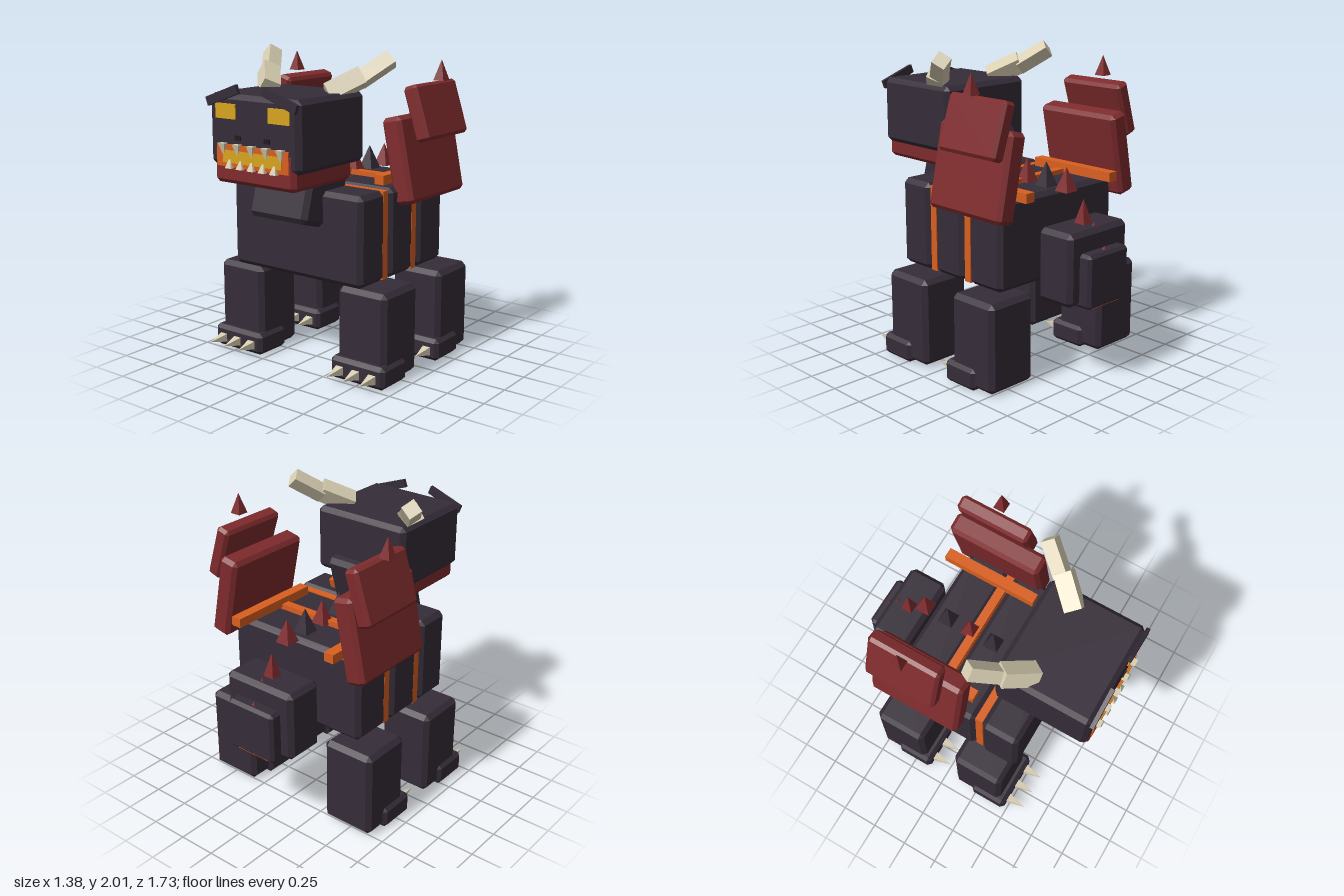
import * as THREE from 'three';
import { ConvexGeometry } from 'three/addons/geometries/ConvexGeometry.js';

const mat = (name, color) => {
  const m = new THREE.MeshStandardMaterial({ color });
  m.name = name;
  return m;
};

// Box with chamfered edges and corners
function chamferBox(w, h, d, b) {
  const pts = [];
  for (const sx of [-1, 1]) for (const sy of [-1, 1]) for (const sz of [-1, 1]) {
    const x = w / 2, y = h / 2, z = d / 2;
    pts.push(new THREE.Vector3(sx * x, sy * (y - b), sz * (z - b)));
    pts.push(new THREE.Vector3(sx * (x - b), sy * y, sz * (z - b)));
    pts.push(new THREE.Vector3(sx * (x - b), sy * (y - b), sz * z));
  }
  return new ConvexGeometry(pts);
}

// Square pyramid standing on its base at y = 0
function pyramid(width, height) {
  const g = new THREE.ConeGeometry(width / Math.SQRT2, height, 4).toNonIndexed();
  g.rotateY(Math.PI / 4);
  g.translate(0, height / 2, 0);
  g.computeVertexNormals();
  return g;
}

export function createModel() {
  const hide = mat('dark hide', 0x352c38);
  const red = mat('red armour', 0x7f2b2d);
  const orange = mat('orange glow', 0xd95f1f);
  const gold = mat('gold eyes', 0xd9a51e);
  const bone = mat('bone', 0xd8ceb2);
  const black = mat('nostril black', 0x1e1a22);

  const model = new THREE.Group();
  model.name = 'hornedBeast';

  const add = (name, geo, material, x, y, z, parent = model) => {
    const m = new THREE.Mesh(geo, material);
    m.name = name;
    m.position.set(x, y, z);
    parent.add(m);
    return m;
  };
  // Boxes given by their limits on each axis
  const block = (name, material, [x0, x1], [y0, y1], [z0, z1], bevel = 0) => add(
    name,
    bevel ? chamferBox(x1 - x0, y1 - y0, z1 - z0, bevel) : new THREE.BoxGeometry(x1 - x0, y1 - y0, z1 - z0),
    material, (x0 + x1) / 2, (y0 + y1) / 2, (z0 + z1) / 2);

  // Body segments with glowing bands between them
  for (const [name, z] of [['chest', [0.207, 0.465]], ['midBody', [-0.105, 0.155]], ['rearBody', [-0.445, -0.16]]]) {
    block(name, hide, [-0.51, 0.51], [0.6, 1.17], z, 0.03);
  }
  for (const z of [0.181, -0.135]) {
    block('bodyBand', orange, [-0.49, 0.49], [0.6, 1.16], [z - 0.026, z + 0.026]);
  }
  block('backStrip', orange, [-0.36, 0.36], [1.155, 1.192], [-0.168, -0.11]);
  block('bellyPlate', orange, [-0.25, 0.25], [0.592, 0.6], [-0.1, 0.15]);

  // Legs, feet and claws
  for (const s of [-1, 1]) {
    for (const [name, z] of [['front', 0.255], ['hind', -0.353]]) {
      add(name + 'Leg', chamferBox(0.36, 0.575, 0.36, 0.03), hide, s * 0.487, 0.3, z);
      add(name + 'Foot', chamferBox(0.405, 0.145, 0.265, 0.025), hide, s * 0.487, 0.073, z + 0.093);
      for (const dx of [-0.122, 0, 0.122]) {
        const claw = add(name + 'Claw', pyramid(0.055, 0.13), bone, s * 0.487 + dx, 0.065, z + 0.226);
        claw.rotation.x = Math.PI / 2;
      }
    }
  }

  // Neck leaning forward, with a collar
  const neck = new THREE.Group();
  neck.name = 'neck';
  neck.position.set(0, 1.222, 0.392);
  neck.rotation.x = -0.28;
  model.add(neck);
  add('neckBlock', chamferBox(0.45, 0.57, 0.37, 0.03), hide, 0, 0, 0, neck);
  add('neckCollar', new THREE.BoxGeometry(0.47, 0.06, 0.37), orange, 0, 0.08, 0, neck);

  // Head, jaw and mouth
  block('head', hide, [-0.348, 0.348], [1.335, 1.765], [0.2, 0.835], 0.03);
  block('jaw', red, [-0.312, 0.312], [1.23, 1.46], [0.28, 0.838], 0.025);
  block('mouth', orange, [-0.277, 0.277], [1.335, 1.47], [0.836, 0.845]);
  block('mouthGlow', gold, [-0.225, 0.225], [1.36, 1.435], [0.841, 0.849]);
  for (let i = -2; i <= 2; i++) {
    add('upperTooth', pyramid(0.05, 0.085), bone, i * 0.111, 1.475, 0.843).rotation.z = Math.PI;
    add('lowerTooth', pyramid(0.048, 0.068), bone, i * 0.0865, 1.328, 0.843);
  }

  for (const s of [-1, 1]) {
    // Face details
    add('eye', new THREE.BoxGeometry(0.157, 0.09, 0.009), gold, s * 0.205, 1.665, 0.839);
    add('nostril', new THREE.BoxGeometry(0.042, 0.028, 0.009), black, s * 0.113, 1.512, 0.838);
    add('brow', new THREE.BoxGeometry(0.255, 0.055, 0.025), hide, s * 0.222, 1.757, 0.843).rotation.z = -s * 0.35;
    // Horns swept back and outward
    add('hornBase', new THREE.BoxGeometry(0.11, 0.23, 0.11), bone, s * 0.298, 1.805, 0.34)
      .rotation.set(-0.75, 0, -s * 0.96, 'ZYX');
    add('hornTip', new THREE.BoxGeometry(0.09, 0.23, 0.09), bone, s * 0.41, 1.893, 0.183)
      .rotation.set(-0.75, 0, -s * 0.765, 'ZYX');
    // Shoulder armour with spike and mounting rail
    add('lowerArmour', chamferBox(0.14, 0.545, 0.63, 0.025), red, s * 0.499, 1.327, -0.23).rotation.z = s * 0.2;
    add('upperArmour', chamferBox(0.1, 0.355, 0.485, 0.02), red, s * 0.548, 1.61, -0.285).rotation.z = s * 0.31;
    add('armourSpike', pyramid(0.074, 0.13), red, s * 0.583, 1.8, -0.283);
    add('armourRail', new THREE.BoxGeometry(0.07, 0.06, 0.655), orange, s * 0.376, 1.2, -0.236);
  }

  // Tail
  block('tailBase', hide, [-0.265, 0.265], [0.53, 0.99], [-0.785, -0.515], 0.03);
  block('tailTip', hide, [-0.18, 0.18], [0.52, 0.86], [-0.865, -0.6], 0.02);
  block('tailGlow', orange, [-0.12, 0.12], [0.516, 0.523], [-0.845, -0.815]);

  // Spikes along the spine: z, base y, width, height
  const spikes = [
    [0.165, 1.165, 0.1, 0.15, red], [0, 1.165, 0.105, 0.16, hide], [-0.17, 1.165, 0.1, 0.16, red],
    [-0.335, 1.165, 0.105, 0.16, hide], [-0.505, 1.165, 0.1, 0.15, red],
    [-0.648, 0.985, 0.08, 0.16, red], [-0.735, 0.975, 0.03, 0.04, red], [-0.82, 0.855, 0.025, 0.025, red],
  ];
  for (const [z, y, w, h, m] of spikes) add('spineSpike', pyramid(w, h), m, 0, y, z);

  return model;
}
